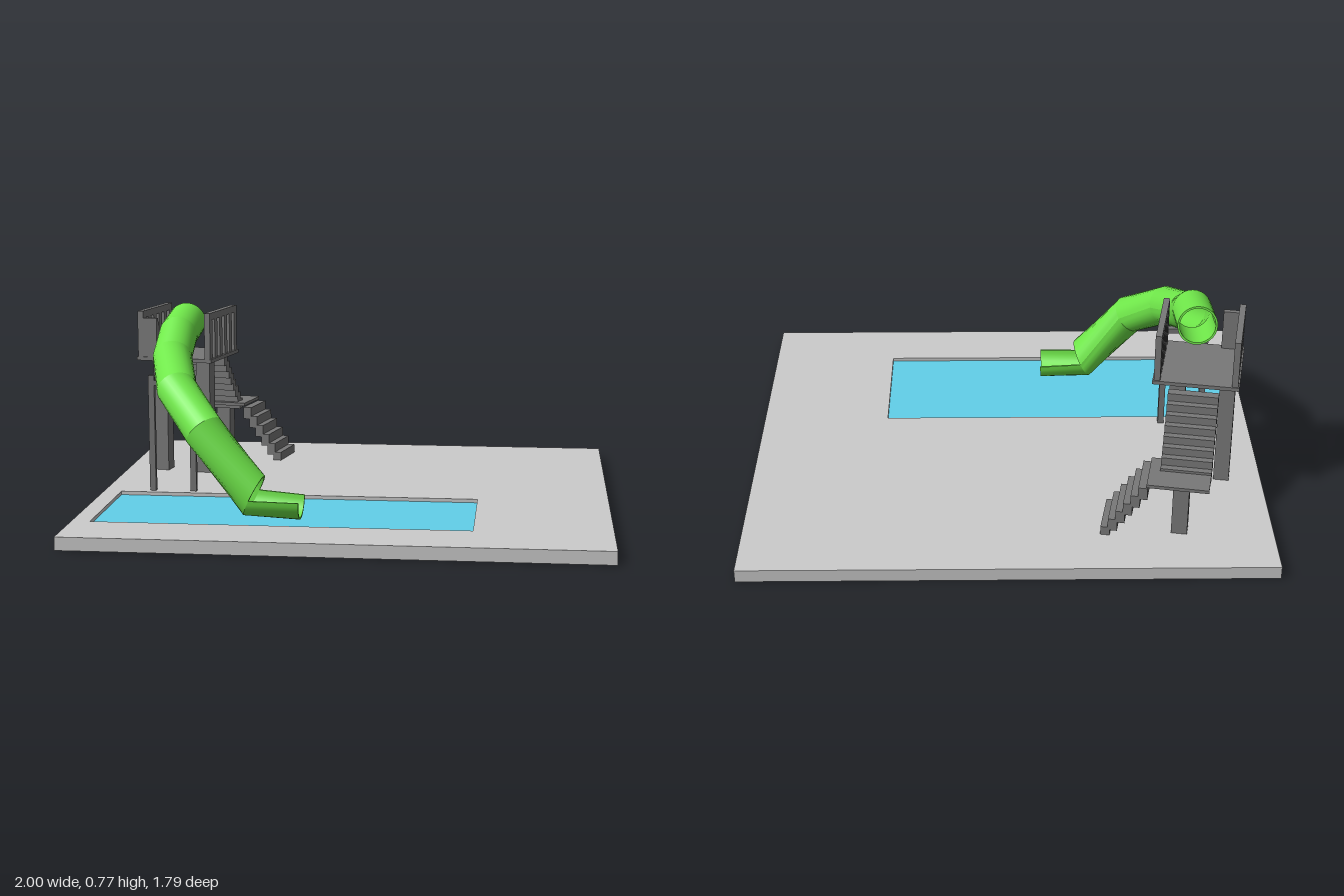
import * as THREE from 'three';

const GREY = new THREE.MeshStandardMaterial({ color: 0xcccccc });
const DARK = new THREE.MeshStandardMaterial({ color: 0x787878 });
const WATER = new THREE.MeshStandardMaterial({ color: 0x62d0ea });
const GREEN = new THREE.MeshStandardMaterial({ color: 0x70e84a, side: THREE.DoubleSide });

// Box given by its extents along each axis
function box(parent, name, [x0, x1], [y0, y1], [z0, z1], material = DARK) {
  const mesh = new THREE.Mesh(new THREE.BoxGeometry(x1 - x0, y1 - y0, z1 - z0), material);
  mesh.position.set((x0 + x1) / 2, (y0 + y1) / 2, (z0 + z1) / 2);
  mesh.name = name;
  parent.add(mesh);
}

function rect(x0, x1, z0, z1, Type) {
  // z is negated because the shape is laid flat by a -90 degree turn about x
  return new Type([[x0, -z0], [x0, -z1], [x1, -z1], [x1, -z0]].map(p => new THREE.Vector2(...p)));
}

// Ground slab with a sunken pool
function createGround() {
  const g = new THREE.Group();
  g.name = 'ground';
  box(g, 'groundBottom', [-1, 1], [0, 0.015], [-0.895, 0.895], GREY);
  const shape = rect(-1, 1, -0.895, 0.895, THREE.Shape);
  shape.holes.push(rect(-0.93, 0.49, 0.155, 0.655, THREE.Path));
  const geo = new THREE.ExtrudeGeometry(shape, { depth: 0.035, bevelEnabled: false });
  geo.rotateX(-Math.PI / 2);
  geo.translate(0, 0.015, 0);
  const deck = new THREE.Mesh(geo, GREY);
  deck.name = 'poolDeck';
  g.add(deck);
  box(g, 'poolWater', [-0.93, 0.49], [0.015, 0.036], [0.155, 0.655], WATER);
  return g;
}

// Tower, built square and then turned
function createTower() {
  const g = new THREE.Group();
  g.name = 'tower';
  box(g, 'platform', [-0.163, 0.163], [0.535, 0.55], [-0.16, 0.16]);
  for (const x of [-0.115, 0.075]) box(g, 'platformPost', [x - 0.03, x + 0.03], [0.05, 0.535], [-0.03, 0.03]);

  // Side railings
  for (const x of [-0.146, 0.146]) {
    const w = [x - 0.012, x + 0.012];
    box(g, 'handrail', w, [0.71, 0.738], [-0.155, 0.155]);
    for (let i = 0; i < 6; i++) {
      const z = -0.14 + i * 0.056;
      box(g, 'baluster', w, [0.55, 0.71], [z - 0.015, z + 0.015]);
    }
  }
  box(g, 'frontPanel', [-0.158, -0.075], [0.55, 0.71], [0.135, 0.155]);

  // Upper flight, down to the landing
  for (let i = 0; i < 8; i++) {
    const y = 0.52 - i * 0.031, z = -0.158 - i * 0.026;
    box(g, 'upperStep', [-0.09, 0.1], [y - 0.045, y], [z - 0.035, z]);
  }

  // Landing on one post
  box(g, 'landing', [-0.09, 0.14], [0.28, 0.293], [-0.478, -0.29]);
  box(g, 'landingPost', [-0.015, 0.045], [0.05, 0.28], [-0.42, -0.36]);

  // Lower flight, turning to the left
  for (let i = 0; i < 6; i++) {
    const y = 0.275 - i * 0.038, x = 0.135 + i * 0.027;
    box(g, 'lowerStep', [x, x + 0.035], [Math.max(y - 0.05, 0.05), y], [-0.476, -0.29]);
  }
  g.position.set(-0.735, 0, -0.27);
  g.rotation.y = -0.187;
  return g;
}

// Surface between two rows of points
function skin(parent, name, a, b) {
  const geo = new THREE.BufferGeometry().setFromPoints([...a, ...b]);
  const n = a.length, index = [];
  for (let i = 0; i < n - 1; i++) index.push(i, i + 1, n + i, i + 1, n + i + 1, n + i);
  geo.setIndex(index);
  geo.computeVertexNormals();
  const mesh = new THREE.Mesh(geo, GREEN);
  mesh.name = name;
  parent.add(mesh);
}

// Bent tube slide with mitred joints and an open half-pipe exit
function createSlide() {
  const g = new THREE.Group();
  g.name = 'slide';
  const path = [
    [-0.727, 0.69, -0.225], [-0.727, 0.66, -0.04], [-0.727, 0.585, 0.085], [-0.665, 0.495, 0.31],
    [-0.53, 0.365, 0.475], [-0.335, 0.13, 0.515], [-0.155, 0.122, 0.522],
  ].map(p => new THREE.Vector3(...p));
  const last = path.length - 1;
  const dir = i => path[i + 1].clone().sub(path[i]).normalize();

  function ring(k, r, from, to, count) {
    const dIn = dir(Math.max(k - 1, 0)), dOut = dir(Math.min(k, last - 1));
    const n = dIn.clone().add(dOut).normalize();
    const side = new THREE.Vector3(0, 1, 0).cross(dIn).normalize();
    const up = dIn.clone().cross(side);
    return Array.from({ length: count + 1 }, (_, i) => {
      const a = from + (to - from) * i / count;
      const p = side.clone().multiplyScalar(r * Math.cos(a)).addScaledVector(up, r * Math.sin(a));
      p.addScaledVector(dIn, -p.dot(n) / dIn.dot(n));
      return p.add(path[k]);
    });
  }
  const OUT = 0.077, IN = 0.069;
  const full = (k, r) => ring(k, r, 0, Math.PI * 2, 28);
  const half = (k, r) => ring(k, r, Math.PI, Math.PI * 2, 14);

  for (let k = 0; k < last - 1; k++) {
    skin(g, 'tubeOutside', full(k, OUT), full(k + 1, OUT));
    skin(g, 'tubeInside', full(k, IN), full(k + 1, IN));
  }
  for (const k of [0, last - 1]) skin(g, 'tubeRim', full(k, OUT), full(k, IN));

  const a = half(last - 1, OUT), b = half(last, OUT), c = half(last - 1, IN), d = half(last, IN);
  skin(g, 'troughOutside', a, b);
  skin(g, 'troughInside', c, d);
  skin(g, 'troughRim', b, d);
  for (const i of [0, 14]) skin(g, 'troughEdge', [a[i], b[i]], [c[i], d[i]]);
  return g;
}

// Frame that carries the slide halfway
function createSlideSupport() {
  const g = new THREE.Group();
  g.name = 'slideSupport';
  for (const x of [-0.807, -0.643]) box(g, 'supportPost', [x - 0.012, x + 0.012], [0.05, 0.515], [0.103, 0.127]);
  box(g, 'supportBar', [-0.795, -0.655], [0.475, 0.495], [0.103, 0.127]);
  return g;
}

export function createModel() {
  const model = new THREE.Group();
  model.name = 'poolSlide';
  model.add(createGround(), createTower(), createSlide(), createSlideSupport());
  return model;
}
